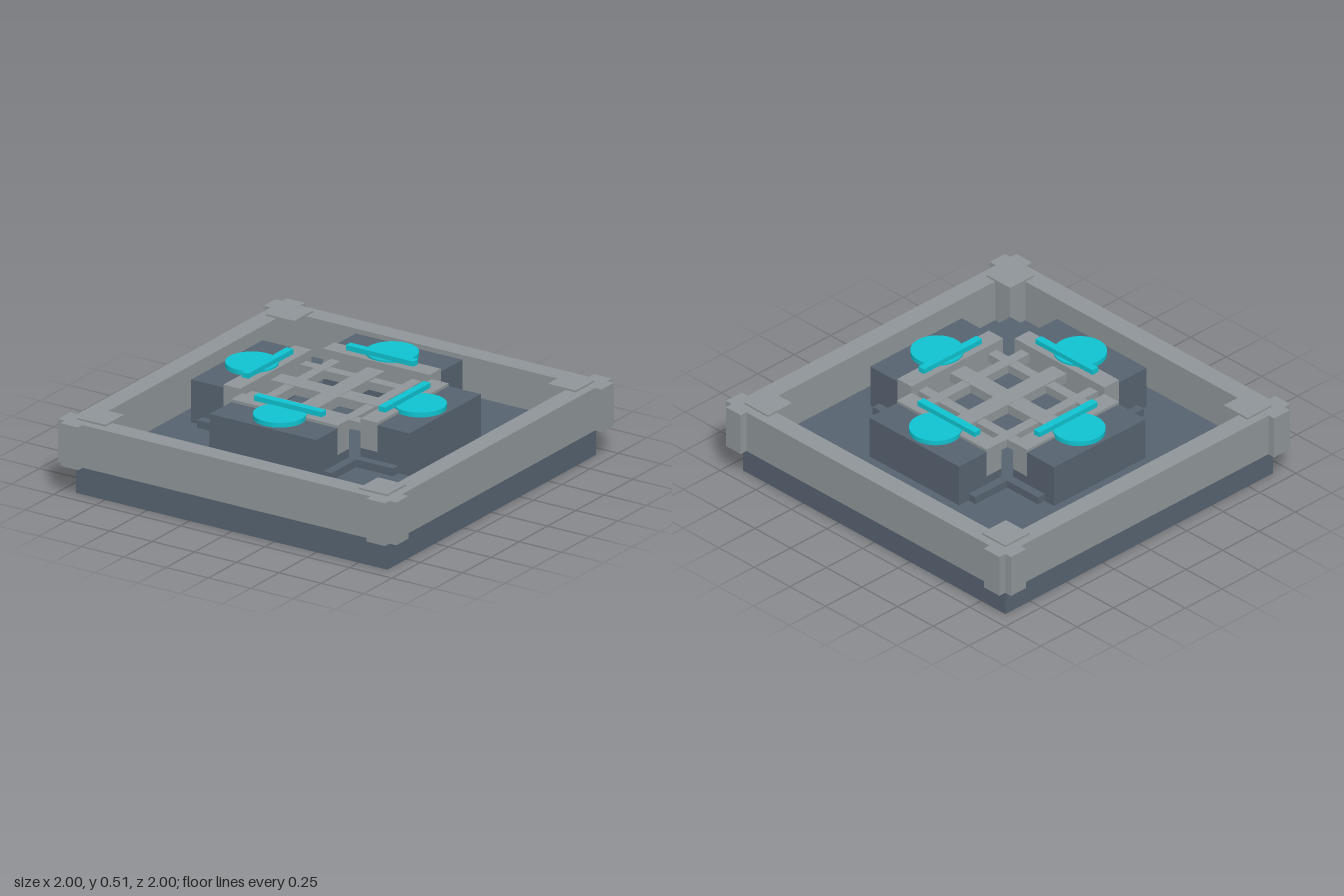
import * as THREE from 'three';

const metal = new THREE.MeshStandardMaterial({ name: 'light grey metal', color: 0x8e9497 });
const slate = new THREE.MeshStandardMaterial({ name: 'slate', color: 0x56626e });
const glow = new THREE.MeshStandardMaterial({ name: 'cyan light', color: 0x0fc1ce });

// Box given by its extents on each axis
function box(parent, name, mat, [x0, x1], [y0, y1], [z0, z1]) {
  const mesh = new THREE.Mesh(new THREE.BoxGeometry(x1 - x0, y1 - y0, z1 - z0), mat);
  mesh.position.set((x0 + x1) / 2, (y0 + y1) / 2, (z0 + z1) / 2);
  mesh.name = name;
  parent.add(mesh);
  return mesh;
}

// One quarter of the model: wall, corner post, console and lights
function buildSide(index) {
  const side = new THREE.Group();
  side.name = 'side' + (index + 1);

  // Rim wall and notched corner
  box(side, 'wall', metal, [-0.855, 0.855], [0.16, 0.385], [0.855, 0.96]);
  box(side, 'cornerCore', metal, [0.85, 1], [0.16, 0.386], [0.855, 0.96]);
  box(side, 'cornerFlange', metal, [0.85, 0.96], [0.16, 0.386], [0.96, 1]);
  box(side, 'cornerPost', metal, [0.75, 0.915], [0.16, 0.395], [0.75, 0.915]);

  // Console block with its metal inner edge
  box(side, 'consoleBlock', slate, [-0.315, 0.315], [0.235, 0.46], [0.455, 0.645]);
  box(side, 'consoleFoot', slate, [-0.315, 0.315], [0.235, 0.32], [0.355, 0.455]);
  box(side, 'consoleEdge', metal, [-0.315, 0.315], [0.32, 0.475], [0.355, 0.455]);

  // Round light and light bar
  const disc = new THREE.Mesh(new THREE.CylinderGeometry(0.132, 0.132, 0.03, 32), glow);
  disc.position.set(0, 0.47, 0.497);
  disc.name = 'roundLight';
  side.add(disc);
  box(side, 'lightBar', glow, [-0.2, 0.2], [0.483, 0.51], [0.385, 0.425]);

  side.rotation.y = index * Math.PI / 2;
  return side;
}

export function createModel() {
  const model = new THREE.Group();
  model.name = 'platform';

  // Base slab, raised floor and cross-shaped step
  box(model, 'base', slate, [-0.92, 0.92], [0, 0.155], [-0.92, 0.92]);
  box(model, 'floor', slate, [-0.74, 0.74], [0.155, 0.235], [-0.74, 0.74]);
  box(model, 'stepLong', slate, [-0.362, 0.362], [0.235, 0.275], [-0.58, 0.58]);
  for (const s of [-1, 1]) {
    const ends = s > 0 ? [0.362, 0.58] : [-0.58, -0.362];
    box(model, 'stepWing', slate, ends, [0.235, 0.275], [-0.362, 0.362]);
  }

  for (let i = 0; i < 4; i++) model.add(buildSide(i));

  // Open grille of crossing bars in the middle
  const grille = new THREE.Group();
  grille.name = 'grille';
  const bars = [[0, 0.05, 0.437], [-0.24, 0.028, 0.432], [0.24, 0.028, 0.432]];
  for (const [c, half, top] of bars) {
    box(grille, 'barLengthwise', metal, [c - half, c + half], [0.385, top], [-0.355, 0.355]);
    box(grille, 'barCrosswise', metal, [-0.355, 0.355], [0.386, top - 0.002], [c - half, c + half]);
  }
  model.add(grille);
  return model;
}
